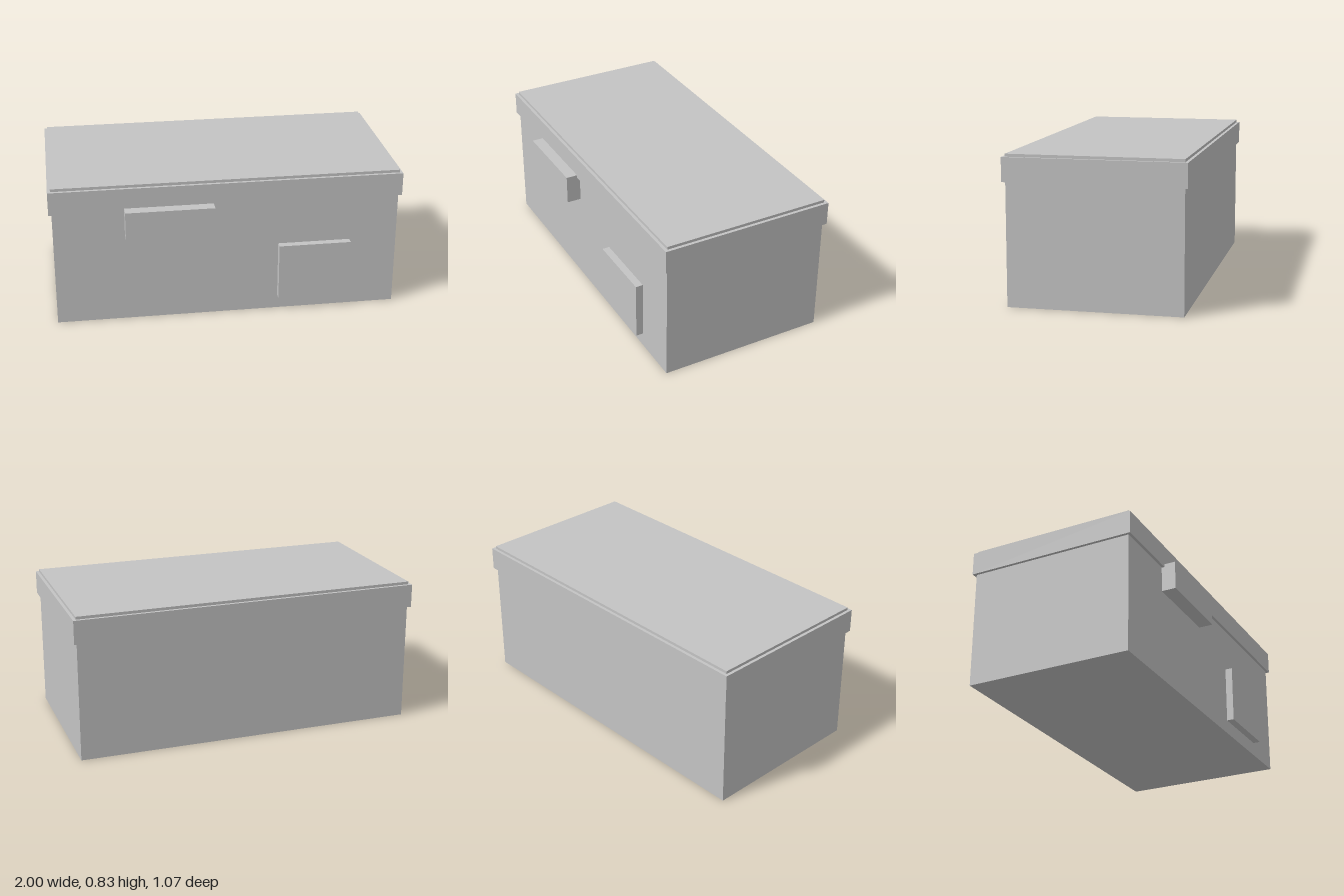
import * as THREE from 'three';

export function createModel() {
  const group = new THREE.Group();
  const grey = new THREE.MeshStandardMaterial({ color: 0xc4c4c4 });
  grey.name = 'lightGrey';

  // Adds a box spanning the given [min, max] ranges
  function addBox(name, x, y, z) {
    const size = [x, y, z].map(([a, b]) => b - a);
    const centre = [x, y, z].map(([a, b]) => (a + b) / 2);
    const mesh = new THREE.Mesh(new THREE.BoxGeometry(...size), grey);
    mesh.name = name;
    mesh.position.set(...centre);
    group.add(mesh);
  }

  // Chest body, rising slightly through the lid rim
  addBox('body', [-0.983, 0.983], [0, 0.833], [-0.516, 0.45]);
  // Overhanging band of the lid
  addBox('lidRim', [-1, 1], [0.683, 0.817], [-0.533, 0.467]);
  // Clasp block and square plate on the front
  addBox('clasp', [-0.583, -0.083], [0.534, 0.7], [0.44, 0.533]);
  addBox('frontPlate', [0.292, 0.708], [0.083, 0.417], [0.44, 0.492]);

  return group;
}
